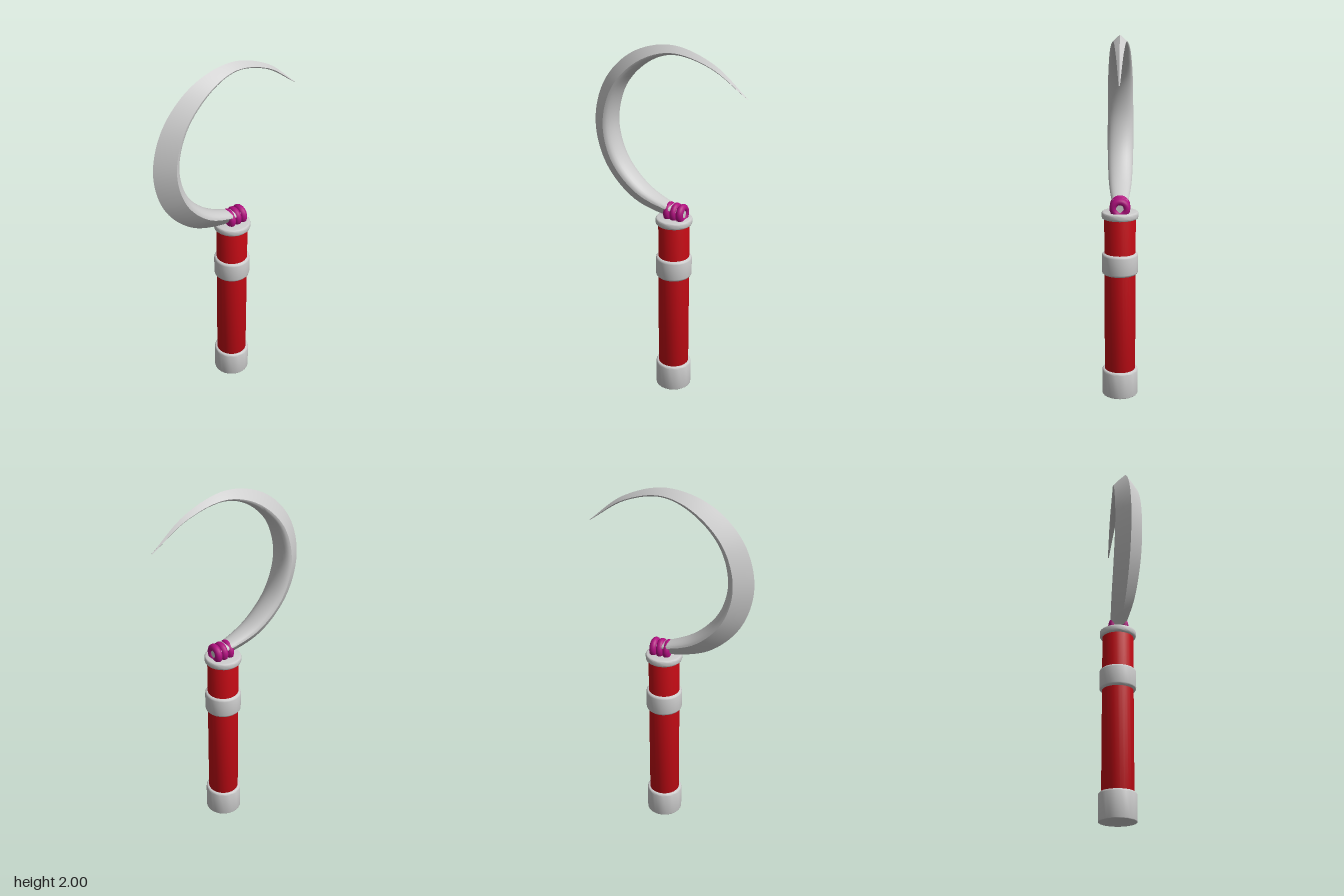
import * as THREE from 'three';
import { toCreasedNormals } from 'three/addons/utils/BufferGeometryUtils.js';

const HANDLE_Z = -0.037;
const grey = new THREE.MeshStandardMaterial({ color: 0xcccccc });
const red = new THREE.MeshStandardMaterial({ color: 0xc00a14 });
const magenta = new THREE.MeshStandardMaterial({ color: 0xb0107f });

function mesh(name, geometry, material) {
  const m = new THREE.Mesh(geometry, material);
  m.name = name;
  return m;
}

// Solid round collar with softened rims (separate bottom and top bevels)
function collar(name, y0, y1, r, material, bottom, top) {
  const profile = [[0, y0]];
  for (let i = 0; i <= 3; i++) {
    const a = (i / 3) * Math.PI / 2;
    profile.push([r - bottom * (1 - Math.sin(a)), y0 + bottom * (1 - Math.cos(a))]);
  }
  for (let i = 0; i <= 3; i++) {
    const a = (i / 3) * Math.PI / 2;
    profile.push([r - top * (1 - Math.cos(a)), y1 - top * (1 - Math.sin(a))]);
  }
  profile.push([0, y1]);
  const lathe = new THREE.LatheGeometry(profile.map(p => new THREE.Vector2(...p)), 24);
  const m = mesh(name, toCreasedNormals(lathe, 0.6), material);
  m.position.z = HANDLE_Z;
  return m;
}

// Curve through [z, y] points in the plane x = 0
const curve = pts => new THREE.CatmullRomCurve3(pts.map(([z, y]) => new THREE.Vector3(0, y, z)));

// Curved blade: ridge on the outside, rounded face on the inside, tapering to a tip
function bladeGeometry() {
  const outer = curve([[-0.1, 1.065], [-0.02, 1.06], [0.215, 1.123], [0.387, 1.295], [0.45, 1.53],
    [0.387, 1.765], [0.215, 1.937], [-0.02, 2.0], [-0.255, 1.93], [-0.447, 1.778]]);
  const inner = curve([[-0.1, 1.125], [-0.02, 1.14], [0.136, 1.214], [0.268, 1.36], [0.317, 1.55],
    [0.261, 1.752], [0.112, 1.9], [-0.04, 1.953], [-0.242, 1.908], [-0.445, 1.776]]);
  const width = curve([0.036, 0.045, 0.064, 0.073, 0.073, 0.069, 0.056, 0.036, 0.02, 0.003]
    .map((w, i) => [i, w]));

  // Half section: [share of half width, share of depth from ridge to inner face]
  const half = [[0, 0], [0.53, 0.34]];
  for (let k = 0; k <= 6; k++) {
    const a = (k / 6) * Math.PI / 2;
    half.push([Math.cos(a), 0.69 + 0.31 * Math.sin(a)]);
  }
  half[half.length - 1][0] = 0;
  const section = [...half, ...half.slice(1, -1).reverse().map(([w, d]) => [-w, d])];

  const N = 72, M = section.length, pos = [], idx = [];
  for (let i = 0; i <= N; i++) {
    const t = i / N;
    const o = outer.getPoint(t), n = inner.getPoint(t), w = width.getPoint(t).y;
    for (const [sx, d] of section) {
      const p = o.clone().lerp(n, d);
      pos.push(sx * w, p.y, p.z);
    }
  }
  for (let i = 0; i < N; i++) {
    for (let j = 0; j < M; j++) {
      const a = i * M + j, b = i * M + (j + 1) % M;
      idx.push(a, b, b + M, a, b + M, a + M);
    }
  }
  // End caps
  for (let j = 1; j < M - 1; j++) {
    idx.push(0, j + 1, j);
    idx.push(N * M, N * M + j, N * M + j + 1);
  }
  const g = new THREE.BufferGeometry();
  g.setAttribute('position', new THREE.Float32BufferAttribute(pos, 3));
  g.setIndex(idx);
  return toCreasedNormals(g, 0.6);
}

export function createModel() {
  const model = new THREE.Group();
  model.name = 'sickle';

  // Handle with its metal fittings
  model.add(
    collar('grip', 0.1, 1.04, 0.086, red, 0.004, 0.004),
    collar('baseCap', 0, 0.153, 0.101, grey, 0.004, 0.012),
    collar('middleRing', 0.712, 0.832, 0.1, grey, 0.014, 0.014),
    collar('topRing', 1.025, 1.064, 0.101, grey, 0.012, 0.01),
  );

  // Blade
  model.add(mesh('blade', bladeGeometry(), grey));

  // Cord wound round the foot of the blade
  const binding = new THREE.Group();
  binding.name = 'binding';
  for (let i = 0; i < 3; i++) {
    const turn = mesh('bindingTurn', new THREE.TorusGeometry(0.036, 0.02, 12, 28), magenta);
    turn.position.set(0, 1.091, -0.012 - i * 0.038);
    binding.add(turn);
  }
  model.add(binding);
  return model;
}
